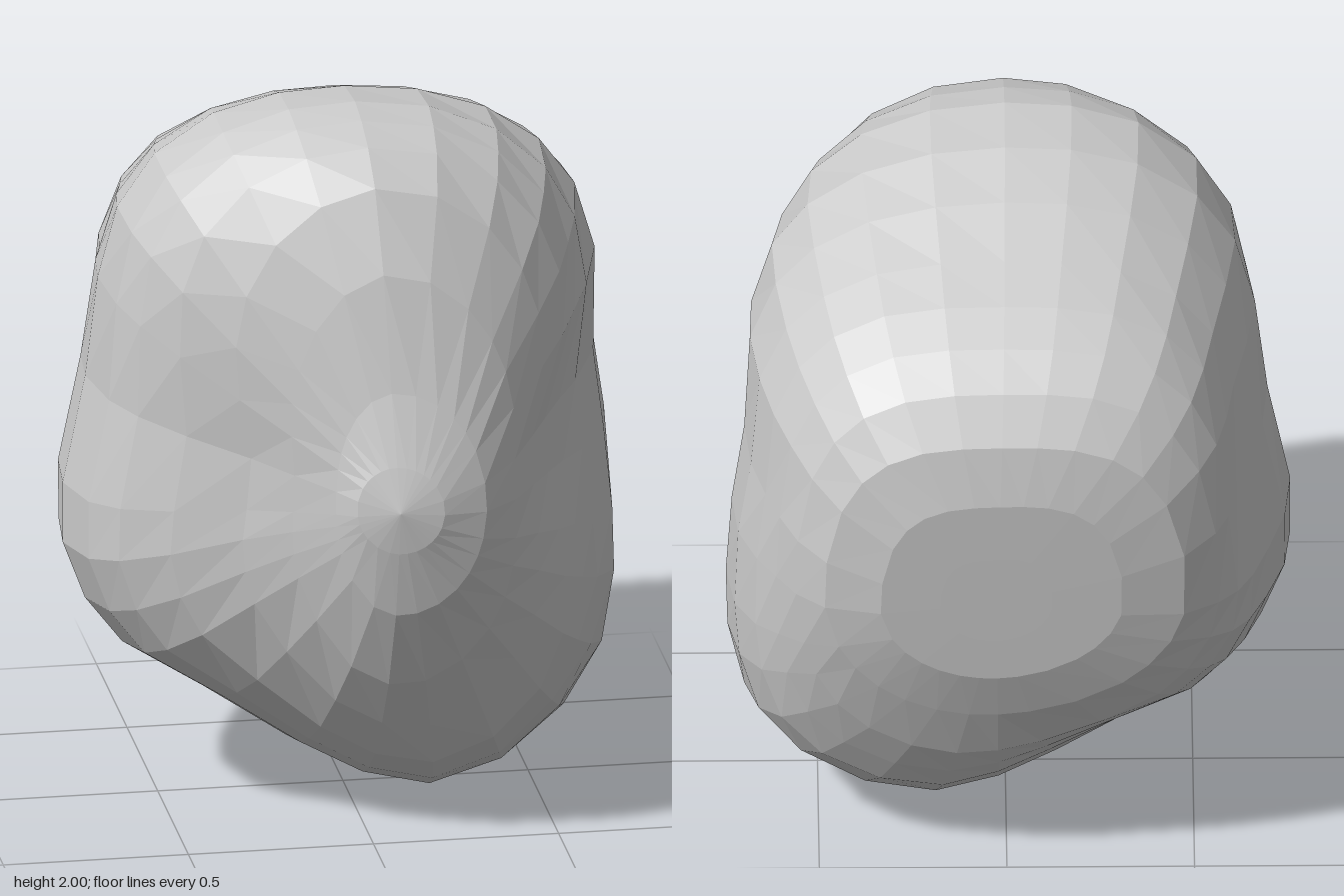
import * as THREE from 'three';

// Widest outline of the boulder, clockwise from the top (x, y)
const OUTLINE = [
  [0, 2], [0.2, 1.98], [0.39, 1.92], [0.54, 1.82], [0.64, 1.69], [0.7, 1.5], [0.7, 1.2],
  [0.73, 0.97], [0.75, 0.73], [0.75, 0.55], [0.71, 0.35], [0.6, 0.18], [0.42, 0.05],
  [0.21, 0], [0.02, 0.05], [-0.16, 0.15], [-0.38, 0.3], [-0.6, 0.44], [-0.7, 0.57],
  [-0.76, 0.73], [-0.76, 0.9], [-0.7, 1.2], [-0.67, 1.48], [-0.62, 1.68], [-0.52, 1.83],
  [-0.36, 1.94], [-0.18, 1.99],
];

// Axis that the facets radiate from
const AX = 0.03;
const AY = 1.03;

// Cross-sections from front to back: z, left x, right x, low y, high y, slope of z along x and y
const SECTIONS = [
  [0.765, AX, AX, AY, AY, 0, 0],
  [0.74, -0.08, 0.15, 0.91, 1.15, 0.2, -0.06],
  [0.69, -0.13, 0.27, 0.72, 1.34, 0.15, -0.05],
  [0.6, -0.23, 0.37, 0.48, 1.65, 0.06, 0],
  [0.5, -0.34, 0.44, 0.32, 1.86, 0, 0],
  [0.4, -0.52, 0.5, 0.18, 1.94, 0, 0],
  [0.3, -0.65, 0.56, 0.1, 1.98, 0, 0],
  [0.2, -0.72, 0.63, 0.05, 2, 0, 0],
  [0.02, -0.76, 0.72, 0, 1.98, 0, 0],
  [-0.15, -0.745, 0.75, 0.04, 1.92, 0, 0],
  [-0.32, -0.7, 0.735, 0.13, 1.845, 0, 0],
  [-0.45, -0.66, 0.685, 0.24, 1.79, 0, 0],
  [-0.54, -0.62, 0.63, 0.33, 1.73, 0, -0.03],
  [-0.62, -0.57, 0.57, 0.43, 1.65, -0.02, -0.06],
  [-0.695, -0.48, 0.49, 0.61, 1.53, -0.02, -0.08],
  [-0.74, -0.31, 0.34, 0.77, 1.36, -0.04, -0.08],
  [-0.742, -0.12, 0.18, 0.9, 1.18, -0.04, -0.08],
  [-0.742, AX, AX, AY, AY, 0, 0],
];

// Scale the outline along its spokes to each section, rounding it off towards both ends
function boulderGeometry() {
  const n = OUTLINE.length;
  const positions = [];
  const index = [];
  SECTIONS.forEach(([z, x0, x1, y0, y1, slopeX, slopeY], i) => {
    OUTLINE.forEach(([x, y], j) => {
      const dx = x - AX;
      const dy = y - AY;
      const spoke = Math.hypot(dx, dy);
      const c = dx / spoke;
      const s = dy / spoke;
      const reachX = c > 0 ? x1 - AX : AX - x0;
      const reachY = s > 0 ? y1 - AY : AY - y0;
      const fx = reachX / (c > 0 ? 0.75 - AX : 0.76 + AX);
      const fy = reachY / (s > 0 ? 2 - AY : AY);
      const scaled = spoke * (c * c * fx + s * s * fy);

      // The upper back is squarer than the rest
      const square = z < 0 ? Math.max(s, 0) : 0;
      const p = 2 + square;
      const sum = (Math.abs(c) * reachY) ** p + (Math.abs(s) * reachX) ** p;
      const oval = sum > 0 ? reachX * reachY / sum ** (1 / p) : 0;
      const start = z < 0 ? 0.45 - 0.4 * square : 0.35;
      const round = THREE.MathUtils.smoothstep(Math.abs(z), start, 0.75 - 0.25 * square);
      const r = THREE.MathUtils.lerp(scaled, oval, round);
      positions.push(AX + r * c, AY + r * s, z + r * (c * slopeX + s * slopeY));

      if (i === SECTIONS.length - 1) return;
      const k = (j + 1) % n;
      const A = i * n + j, B = i * n + k, C = A + n, D = B + n;
      if (i > 0) index.push(A, B, C); // both tips are single points
      if (i < SECTIONS.length - 2) index.push(B, D, C);
    });
  });
  const geometry = new THREE.BufferGeometry();
  geometry.setAttribute('position', new THREE.Float32BufferAttribute(positions, 3));
  geometry.setIndex(index);
  const faceted = geometry.toNonIndexed();
  faceted.computeVertexNormals();
  return faceted;
}

export function createModel() {
  const stone = new THREE.MeshStandardMaterial({ color: 0xcbcbcb, flatShading: true });
  stone.name = 'stone grey';
  const boulder = new THREE.Mesh(boulderGeometry(), stone);
  boulder.name = 'boulder';
  const model = new THREE.Group();
  model.name = 'rock';
  model.add(boulder);
  return model;
}
